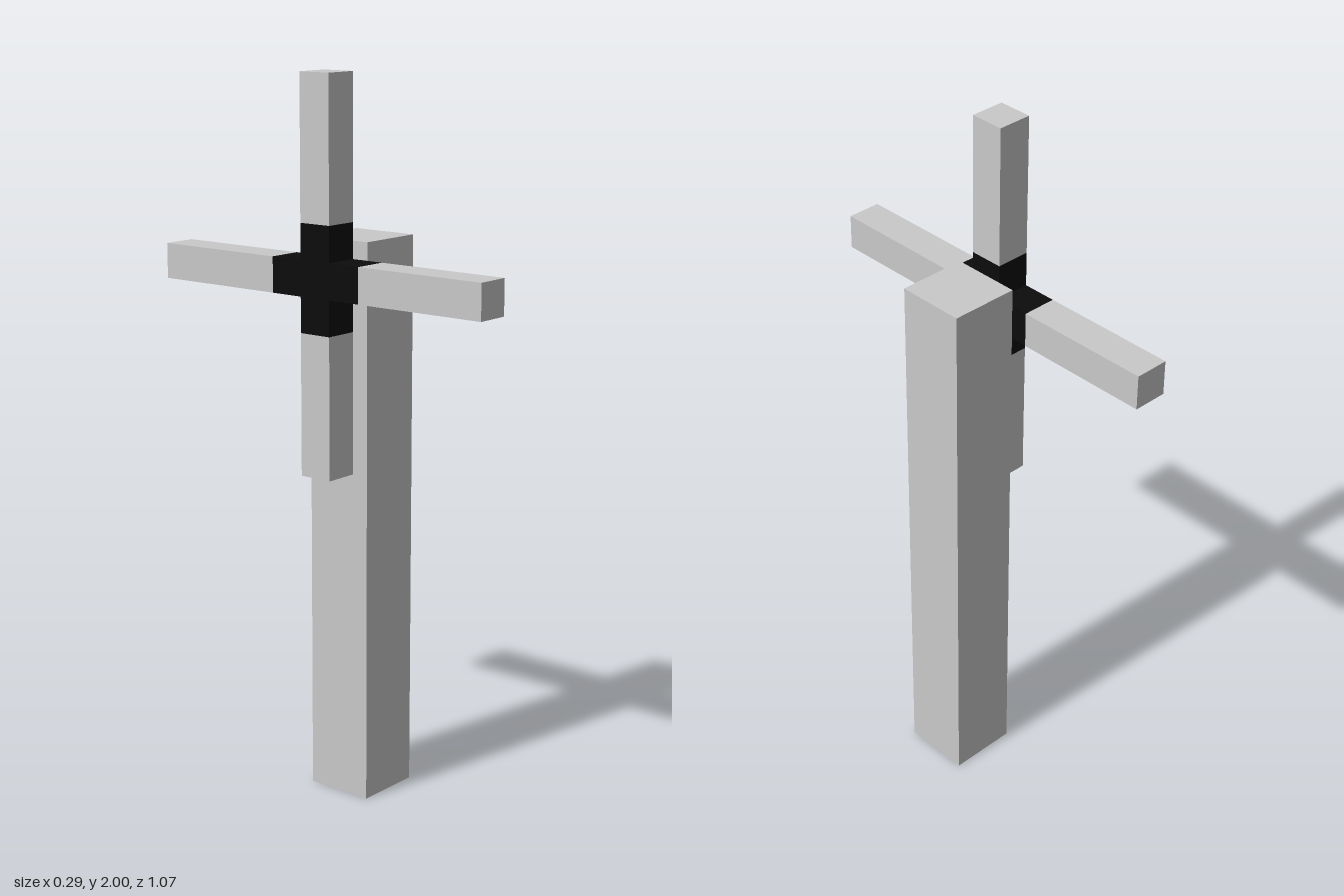
import * as THREE from 'three';

export function createModel() {
  const model = new THREE.Group();
  const stone = new THREE.MeshStandardMaterial({ color: 0xc9c9c9 });
  stone.name = 'light grey';
  const dark = new THREE.MeshStandardMaterial({ color: 0x0c0c0c });
  dark.name = 'black';

  const U = 2 / 20.5; // side of one square bar
  const box = (name, parent, material, w, h, d, x, y, z) => {
    const mesh = new THREE.Mesh(new THREE.BoxGeometry(w * U, h * U, d * U), material);
    mesh.name = name;
    mesh.position.set(x * U, y * U, z * U);
    parent.add(mesh);
  };

  // Upright post
  box('post', model, stone, 2, 16, 2, 0.5, 8, 0);

  // Cross of four blades on the side of the post
  const rotor = new THREE.Group();
  rotor.name = 'rotor';
  rotor.position.set(-U, 15 * U, 0);
  model.add(rotor);

  box('hub', rotor, dark, 1, 1, 1, 0, 0, 0);
  for (let i = 0; i < 4; i++) {
    const arm = new THREE.Group();
    arm.name = 'arm' + (i + 1);
    arm.rotation.x = (i * Math.PI) / 2;
    box('armRoot', arm, dark, 1, 1, 1, 0, 1, 0);
    box('blade', arm, stone, 1, 4, 1, 0, 3.5, 0);
    rotor.add(arm);
  }
  return model;
}
